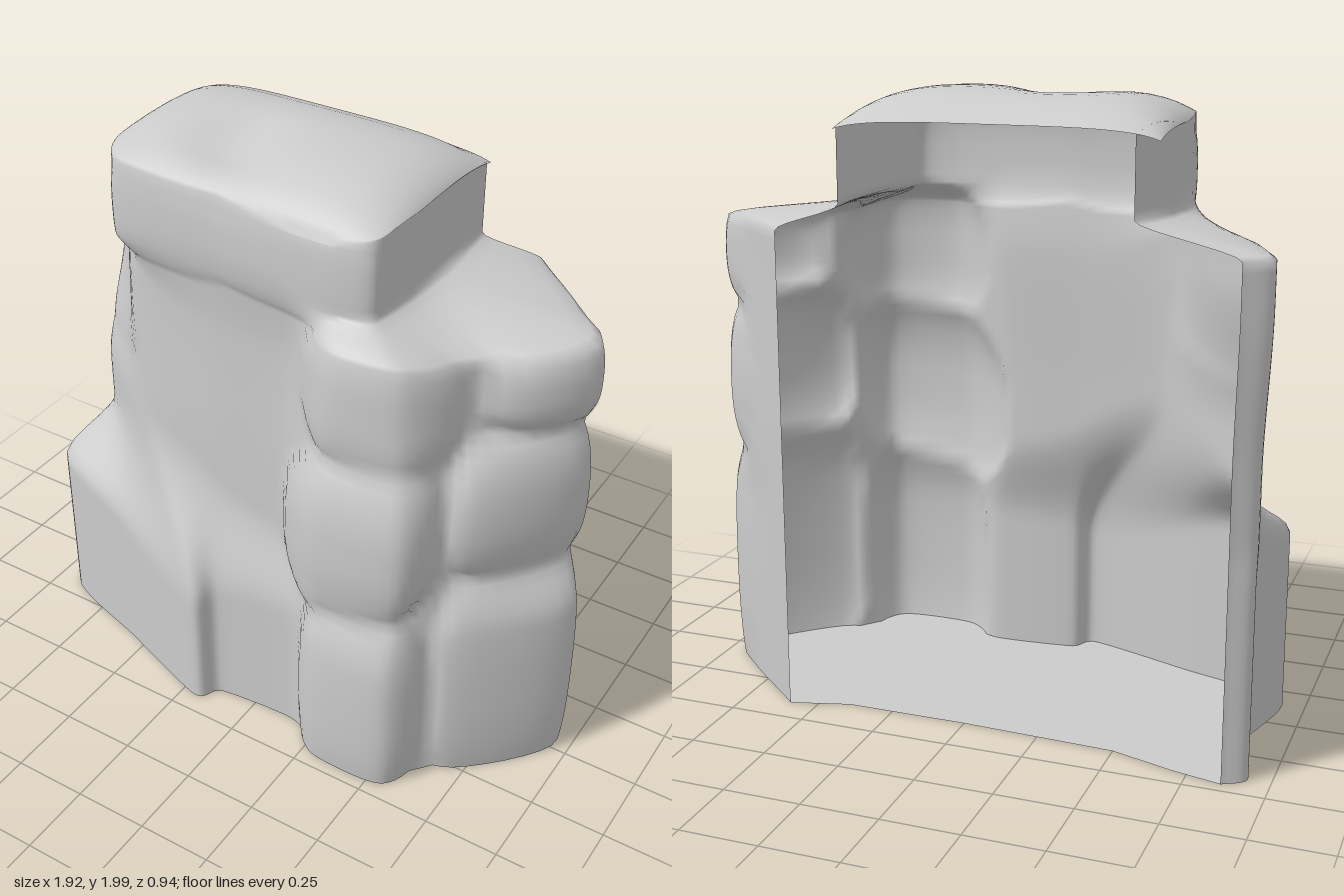
import * as THREE from 'three';

// Plan outlines [x, z] of the open-backed rock face, running from the back edge
// on the -x side, across the front, to the back edge on the +x side.
const foot = [[-.86, -.46], [-.93, -.4], [-.86, -.18], [-.92, .17], [-.56, .31], [-.2, .435], [-.13, .37],
  [.14, .35], [.28, .4], [.53, .4], [.67, .26], [.92, -.06], [.59, -.4]];
const waist = [[-.86, -.46], [-.93, -.39], [-.88, -.19], [-.83, -.01], [-.66, .13], [-.47, .25], [-.2, .28],
  [.08, .29], [.27, .37], [.54, .37], [.66, .23], [.87, -.12], [.59, -.4]];
const shoulder = [[-.87, -.47], [-.95, -.4], [-.88, -.23], [-.77, -.1], [-.63, .06], [-.49, .23], [-.2, .27],
  [.1, .28], [.3, .36], [.51, .33], [.66, .18], [.87, -.11], [.59, -.4]];
const cap = [[-.53, -.35], [-.56, -.27], [-.59, -.16], [-.6, -.03], [-.58, .14], [-.5, .27], [-.2, .29],
  [.1, .3], [.28, .3], [.39, .27], [.415, .1], [.415, -.1], [.41, -.33]];
// Back edge of the floor
const floorBack = [[.4, -.345], [0, -.345], [-.5, -.365], [-.7, -.425]];

// Boulders swelling out of the face: column, height, half width, half height, depth, tilt
const boulders = [
  [8.5, .28, 1.2, .42, .07, .04], [10.6, .36, .85, .47, .06, 0],
  [8.4, .92, 1.35, .31, .085, .06], [10.6, 1.03, .8, .27, .08, 0],
  [8.6, 1.41, 1.3, .24, .065, 0], [10.75, 1.45, .6, .18, .085, 0],
  [3.4, 1.4, 1.6, .28, .02, 0], [5.2, 1.74, 1.5, .16, .02, 0], [7.5, 1.74, 1.8, .16, .02, 0],
];

const LAST = foot.length - 1;
const COLS = LAST * 8;
const { lerp, smoothstep } = THREE.MathUtils;
const curves = [foot, waist, shoulder, cap].map((pts) => new THREE.CatmullRomCurve3(
  pts.map(([x, z]) => new THREE.Vector3(x, 0, z)), false, 'catmullrom', 0.35));

// Point of the wall at column u and height y, before the boulders
function wallPoint(u, y) {
  const [a, b, c, d] = curves.map((curve) => curve.getPoint(u / LAST));
  // the low slab has a firm top edge at its outer end and melts into the panel further in
  const soft = Math.exp(-(((u - 5) / 1.2) ** 2));
  const rise = smoothstep(u, 9.3, 10.3);
  const start = lerp(u < 5 ? .61 : .48 + .14 * rise, .42, soft);
  const p = a.lerp(b, smoothstep(y, start, .76 + .08 * rise + .24 * soft));
  p.lerp(c, smoothstep(y, .95, 1.45));
  // the cap grows smoothly out of the panel but steps in sharply above the ledges
  const panel = Math.exp(-(((u - 6.3) / 1.1) ** 4));
  p.lerp(d, smoothstep(y, 1.57 - .15 * panel, 1.65 + .08 * panel));
  p.y = y;
  return p;
}

// Push a point outwards where a boulder lies
function addBoulders(p, u, y) {
  let push = 0;
  for (const [bu, by, hu, hy, depth, tilt] of boulders) {
    const v = y - by - tilt * (u - bu);
    const rest = 1 - Math.abs((u - bu) / hu) ** 2.6 - Math.abs(v / hy) ** 2.6;
    push = Math.max(push, depth * Math.max(0, rest) ** .65);
  }
  const out = new THREE.Vector3(p.x - .1, 0, p.z + .4).normalize();
  return p.addScaledVector(out, push);
}

// Wall with its boulders; the ledge dips between the two upper ones
function facePoint(u, y) {
  const p = addBoulders(wallPoint(u, y), u, y);
  p.y -= .03 * Math.exp(-2 * (u - 10) ** 2) * smoothstep(y, 1.3, 1.57) * (1 - smoothstep(y, 1.57, 1.65));
  return p;
}

// Domed roof of the cap: f runs from its rim (0) to the back edge (1)
function roofPoint(u, f) {
  const p = facePoint(u, 1.86);
  p.z = lerp(p.z, -.345, f);
  const ex = Math.max(0, 1 - Math.abs((p.x + .09) / .525) ** 4);
  const ez = Math.max(0, 1 - Math.abs((p.z + .03) / .34) ** 2.3);
  const dip = .045 * Math.exp(-(((p.x + .2) / .14) ** 2) - (((p.z - .1) / .18) ** 2));
  p.y += .14 * ex ** .5 * ez ** .6 - dip * Math.min(1, f * 5);
  return p;
}

function gridGeometry(rows) {
  const pos = rows.flat().flatMap((p) => [p.x, p.y, p.z]);
  const n = COLS + 1;
  const index = [];
  for (let r = 0; r < rows.length - 1; r++) {
    for (let c = 0; c < COLS; c++) {
      const a = r * n + c;
      index.push(a, a + 1, a + n, a + 1, a + n + 1, a + n);
    }
  }
  const geo = new THREE.BufferGeometry();
  geo.setAttribute('position', new THREE.Float32BufferAttribute(pos, 3));
  geo.setIndex(index);
  geo.computeVertexNormals();
  return geo;
}

export function createModel() {
  const group = new THREE.Group();
  group.name = 'rockFormation';
  const material = new THREE.MeshStandardMaterial({ color: 0xcccccc, side: THREE.DoubleSide });
  const makeRow = (fn) => Array.from({ length: COLS + 1 }, (_, i) => fn(i * LAST / COLS));

  // Rock face: wall, ledge, cap sides and domed roof in one sheet
  const rows = [];
  const addRows = (from, to, steps) => {
    for (let i = 1; i <= steps; i++) rows.push(makeRow((u) => facePoint(u, lerp(from, to, i / steps))));
  };
  rows.push(makeRow((u) => facePoint(u, .01)));
  addRows(.01, 1.57, 50);
  addRows(1.57, 1.65, 7);
  addRows(1.65, 1.86, 8);
  for (let i = 1; i <= 18; i++) rows.push(makeRow((u) => roofPoint(u, (i / 18) ** 1.8)));
  const face = new THREE.Mesh(gridGeometry(rows), material);
  face.name = 'rockFace';
  group.add(face);

  // Flat floor closing the underside
  const outline = new THREE.Shape([
    ...rows[0].map((p) => new THREE.Vector2(p.x, p.z)),
    ...floorBack.map(([x, z]) => new THREE.Vector2(x, z)),
  ]);
  const floor = new THREE.Mesh(new THREE.ShapeGeometry(outline).rotateX(Math.PI / 2), material);
  floor.position.y = .01;
  floor.name = 'floor';
  group.add(floor);
  return group;
}
